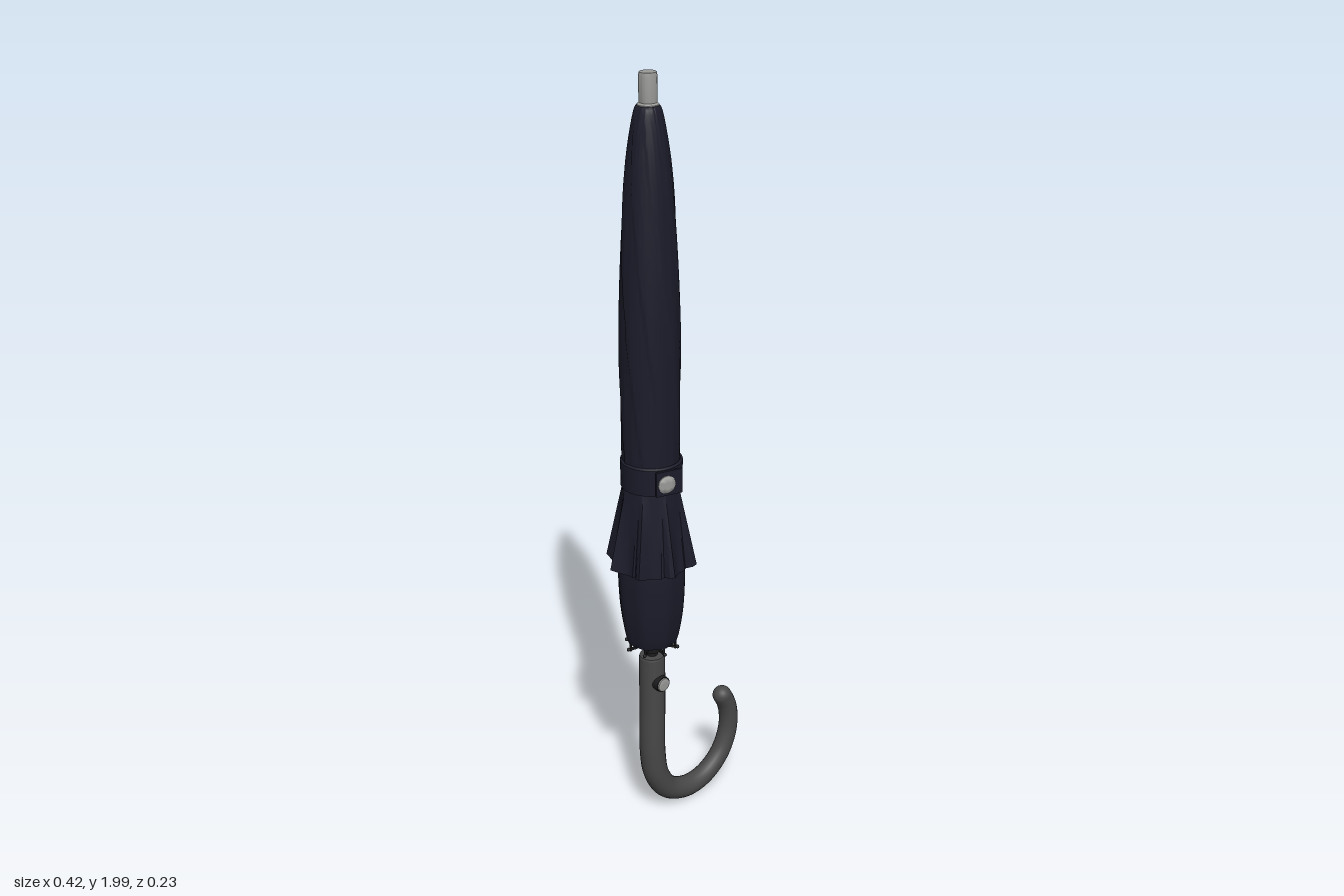
import * as THREE from 'three';
import { toCreasedNormals } from 'three/addons/utils/BufferGeometryUtils.js';

const AXIS = -0.095;          // x of the shaft
const PHASE = 12 * Math.PI / 180; // angle of the first rib
const RIBS = 8;

const mat = (name, color, side = THREE.FrontSide) => {
  const m = new THREE.MeshStandardMaterial({ color, side });
  m.name = name;
  return m;
};

// Closed rings of points: point(angle, v) -> [x, y, z], v runs from top to bottom
function ringSurface(around, down, point) {
  const pos = [], idx = [];
  for (let j = 0; j <= down; j++)
    for (let i = 0; i < around; i++) pos.push(...point(i / around * Math.PI * 2, j / down));
  for (let j = 0; j < down; j++)
    for (let i = 0; i < around; i++) {
      const k = (i + 1) % around;
      const a = j * around + i, c = j * around + k, b = a + around, d = c + around;
      idx.push(a, c, b, c, d, b);
    }
  const g = new THREE.BufferGeometry();
  g.setAttribute('position', new THREE.Float32BufferAttribute(pos, 3));
  g.setIndex(idx);
  g.computeVertexNormals();
  return g;
}

// Position inside one canopy panel, 0 to 1, with 0 on the rib
const panel = (t) => {
  const u = (t - PHASE) / (Math.PI * 2) * RIBS;
  return u - Math.floor(u);
};

export function createModel() {
  const root = new THREE.Group();
  root.name = 'umbrella';
  const fabric = mat('navy fabric', 0x1c1c2b, THREE.DoubleSide);
  const rubber = mat('grey handle', 0x484848);
  const metal = mat('silver metal', 0x9a9a98);
  const black = mat('black steel', 0x1c1c1e);

  const add = (name, geo, material, x = 0, y = 0, z = 0, parent = root) => {
    const m = new THREE.Mesh(geo, material);
    m.name = name;
    m.position.set(x, y, z);
    parent.add(m);
    return m;
  };
  const lathe = (pts, n = 32) =>
    toCreasedNormals(new THREE.LatheGeometry(pts.map(p => new THREE.Vector2(...p)), n), 0.6);

  // Furled canopy with shallow spiral folds
  const profile = new THREE.SplineCurve([
    [0.022, 1.927], [0.034, 1.91], [0.052, 1.8], [0.064, 1.65], [0.071, 1.5],
    [0.074, 1.35], [0.073, 1.2], [0.072, 1.08], [0.07, 0.99],
  ].map(p => new THREE.Vector2(...p)));
  const canopy = ringSurface(96, 40, (t, v) => {
    const p = profile.getPoint(v);
    const fold = panel(t + (1.93 - p.y) * 1.8);
    const r = p.x * (0.965 + 0.045 * fold);
    return [r * Math.cos(t), p.y, r * Math.sin(t)];
  });
  add('furledCanopy', toCreasedNormals(canopy, 0.7), fabric, AXIS);

  // Flared pleats below the strap, pointed at each rib
  const skirt = ringSurface(96, 8, (t, v) => {
    const u = panel(t);
    const spike = Math.pow(Math.abs(2 * u - 1), 2.6);
    const tuck = u > 0.07 && u < 0.16 ? -0.007 : 0;
    const r = 0.069 + v * (0.020 + 0.031 * spike + tuck);
    const y = 1.0 - v * (0.232 - 0.012 * spike);
    const a = t + 0.05 * v * Math.sin(u * Math.PI * 2);
    return [r * Math.cos(a), y, r * Math.sin(a)];
  });
  add('pleatedSkirt', toCreasedNormals(skirt, 0.5), fabric, AXIS);

  // Gathered lower bundle
  const lower = new THREE.SplineCurve([
    [0.07, 0.86], [0.083, 0.79], [0.086, 0.74], [0.082, 0.65], [0.072, 0.58], [0.064, 0.55],
  ].map(p => new THREE.Vector2(...p)));
  const bundle = ringSurface(64, 18, (t, v) => {
    const p = lower.getPoint(v);
    const r = p.x * (0.985 + 0.02 * Math.cos(RIBS * (t - PHASE)));
    return [r * Math.cos(t), p.y, r * Math.sin(t)];
  });
  add('lowerBundle', bundle, fabric, AXIS);
  add('bundleBase', lathe([[0.064, 0.556], [0.03, 0.575], [0.001, 0.575]]), fabric, AXIS);

  // Rib ends: a stem, a foot and a tip at each rib
  const ribs = new THREE.Group();
  ribs.name = 'ribEnds';
  ribs.position.x = AXIS;
  root.add(ribs);
  for (let i = 0; i < RIBS; i++) {
    const rib = new THREE.Group();
    rib.name = 'ribEnd';
    rib.rotation.y = -(PHASE + i * Math.PI * 2 / RIBS);
    ribs.add(rib);
    add('ribStem', new THREE.CylinderGeometry(0.003, 0.003, 0.034, 6), black, 0.062, 0.547, 0, rib);
    add('ribFoot', new THREE.BoxGeometry(0.024, 0.006, 0.006), black, 0.056, 0.535, 0, rib);
    add('ribTip', new THREE.SphereGeometry(0.005, 8, 6), black, 0.068, 0.535, 0, rib);
  }

  // Strap with its tab and snap
  add('strap', lathe([[0.071, 0.988], [0.076, 0.99], [0.077, 1.058], [0.071, 1.062]], 40),
    fabric, AXIS, 0, 0.003);
  const tab = new THREE.Group();
  tab.name = 'strapTab';
  tab.position.set(AXIS - 0.02, 1.022, 0.08);
  tab.rotation.y = -0.26;
  root.add(tab);
  add('tabCloth', new THREE.BoxGeometry(0.07, 0.064, 0.006), fabric, 0.008, 0.002, 0, tab);
  const snap = add('strapSnap', lathe(
    [[0.023, 0], [0.023, 0.004], [0.018, 0.008], [0.009, 0.011], [0, 0.012]], 24), metal, 0, 0, 0.002, tab);
  snap.rotation.x = Math.PI / 2;

  // Shaft and runner collar
  add('shaft', new THREE.CylinderGeometry(0.014, 0.014, 0.14, 20), black, AXIS, 0.54, 0);
  add('collar', new THREE.CylinderGeometry(0.026, 0.022, 0.026, 20), black, AXIS, 0.528, 0);

  // Ferrule on top
  add('ferrule', lathe([[0.026, 1.918], [0.026, 1.928], [0.021, 1.932], [0.022, 1.99],
    [0.02, 2], [0, 2]], 14), metal, AXIS);

  // Crook handle: a tube that narrows towards its tip
  const path = new THREE.CatmullRomCurve3([
    [-0.095, 0.497], [-0.095, 0.36], [-0.095, 0.2], [-0.083, 0.13], [-0.048, 0.072], [0, 0.044],
    [0.045, 0.037], [0.1, 0.052], [0.15, 0.095], [0.176, 0.155], [0.179, 0.205],
    [0.17, 0.245], [0.155, 0.274],
  ].map(([x, y]) => new THREE.Vector3(x, y, 0)));
  const steps = 90, sides = 20;
  const crook = new THREE.TubeGeometry(path, steps, 0.034, sides);
  const p = crook.attributes.position, v = new THREE.Vector3();
  for (let i = 0; i <= steps; i++) {
    const c = path.getPointAt(i / steps);
    const s = 1 - 0.24 * THREE.MathUtils.smoothstep(i / steps, 0.35, 0.8);
    for (let j = 0; j <= sides; j++) {
      const k = i * (sides + 1) + j;
      v.fromBufferAttribute(p, k).sub(c).multiplyScalar(s).add(c);
      p.setXYZ(k, v.x, v.y, v.z);
    }
  }
  add('crookHandle', crook, rubber);
  add('handleTip', new THREE.SphereGeometry(0.0258, 20, 14), rubber, 0.155, 0.274, 0);
  add('handleTop', lathe([[0.034, 0.495], [0.032, 0.502], [0.0, 0.503]], 20), rubber, AXIS);

  // Release button on the front of the handle
  const housing = add('buttonHousing', new THREE.CylinderGeometry(0.021, 0.022, 0.02, 20),
    black, AXIS, 0.43, 0.034);
  housing.rotation.x = Math.PI / 2;
  const button = add('releaseButton', lathe(
    [[0.019, 0], [0.018, 0.004], [0.01, 0.007], [0, 0.008]], 20), metal, AXIS, 0.43, 0.0435);
  button.rotation.x = Math.PI / 2;

  return root;
}
